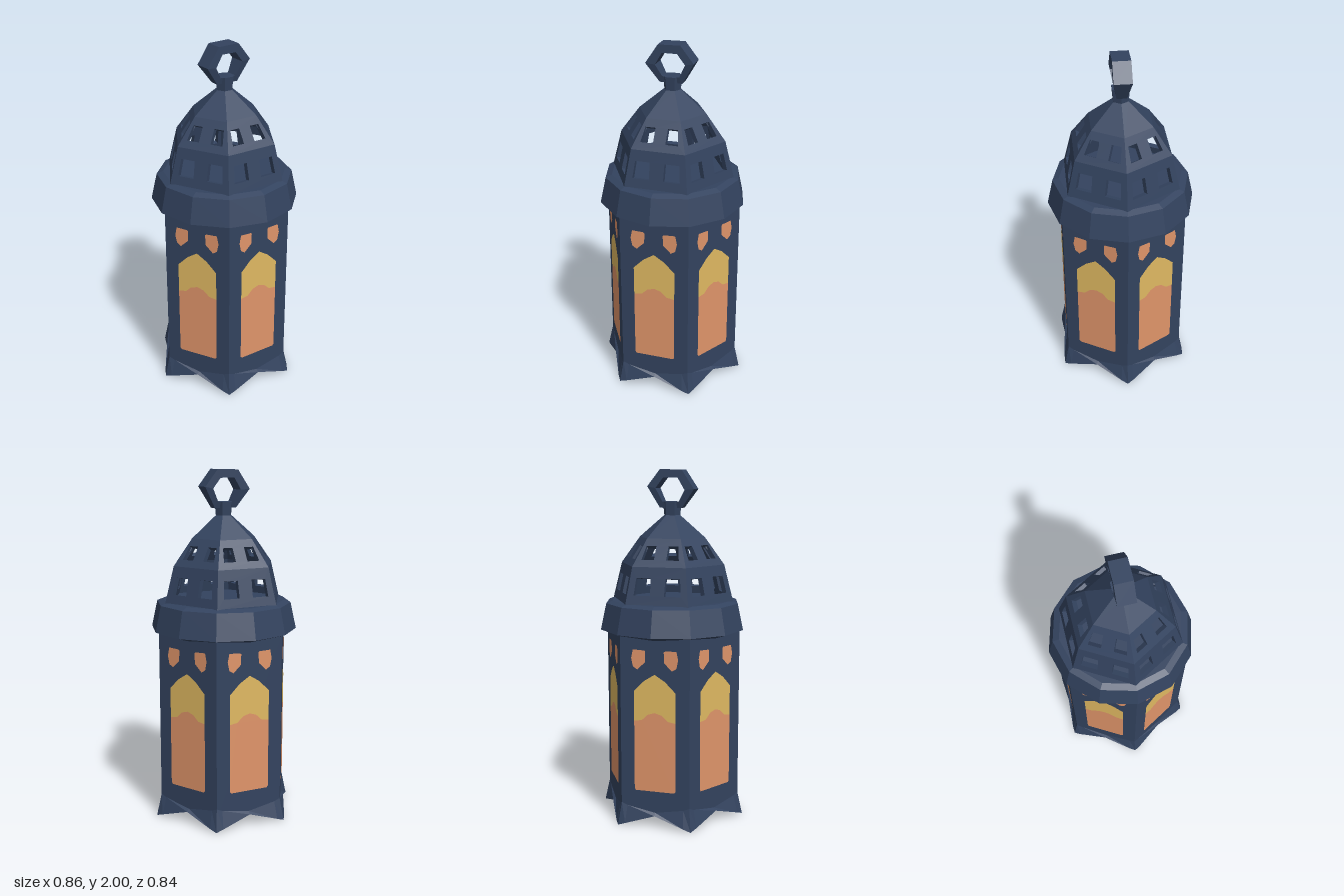
import * as THREE from 'three';

const frameMat = new THREE.MeshStandardMaterial({ color: 0x33435f });
const orangeMat = new THREE.MeshStandardMaterial({ color: 0xe0956a });
const yellowMat = new THREE.MeshStandardMaterial({ color: 0xe0b962 });
frameMat.name = 'navyMetal';
orangeMat.name = 'orangeGlass';
yellowMat.name = 'yellowGlass';
frameMat.flatShading = true;
frameMat.side = THREE.DoubleSide;

const pts = (list) => list.map(([x, y]) => new THREE.Vector2(x, y));
const mirror = (list) => list.map(([x, y]) => [-x, y]).reverse();
const APOTHEM = 0.4 * Math.cos(Math.PI / 6);

function add(parent, name, geometry, material = frameMat) {
  const mesh = new THREE.Mesh(geometry, material);
  mesh.name = name;
  parent.add(mesh);
  return mesh;
}

// Hexagonal prism with corners on the x axis
function hexPrism(rTop, rBottom, y0, y1) {
  return new THREE.CylinderGeometry(rTop, rBottom, y1 - y0, 6, 1, false, Math.PI / 6)
    .translate(0, (y0 + y1) / 2, 0);
}

// Sloping dome panel between two heights, with optional openings [x, y]
function domePanel(z0, y0, z1, y1, holes) {
  const w0 = z0 / Math.sqrt(3), w1 = z1 / Math.sqrt(3);
  const length = Math.hypot(z0 - z1, y1 - y0), t = 0.03;
  const shape = new THREE.Shape(pts([[-w0, 0], [w0, 0], [w1, length], [-w1, length]]));
  for (const hole of holes) {
    const local = hole.map(([x, y]) => [x, (y - y0) / (y1 - y0) * length]);
    shape.holes.push(new THREE.Path(pts(local)), new THREE.Path(pts(mirror(local))));
  }
  return new THREE.ExtrudeGeometry(shape, { depth: t, bevelEnabled: false })
    .translate(0, 0, -t)
    .rotateX(-Math.atan2(z0 - z1, y1 - y0))
    .translate(0, y0, z0);
}

// Flared skirt with a pointed foot at each corner
function skirtGeometry() {
  // Per side: x and z of the column, top height, foot x, foot z, foot height
  const columns = [
    [-0.2, 0.13, -0.215, 0.372, 0],
    [-0.165, 0.115, -0.172, 0.374, 0.015],
    [0, 0.085, 0, 0.362, 0.07],
    [0.165, 0.115, 0.172, 0.374, 0.015],
  ];
  const position = [], index = [], up = new THREE.Vector3(0, 1, 0);
  for (let side = 0; side < 6; side++) {
    for (const [x, top, fx, fz, fy] of columns) {
      for (const p of [[x, top, APOTHEM], [fx, fy, fz]]) {
        position.push(...new THREE.Vector3(...p).applyAxisAngle(up, side * Math.PI / 3).toArray());
      }
    }
  }
  const n = 24;
  for (let i = 0; i < n; i++) {
    const a = 2 * i, b = 2 * ((i + 1) % n);
    index.push(a, a + 1, b + 1, a, b + 1, b);
  }
  const g = new THREE.BufferGeometry();
  g.setAttribute('position', new THREE.Float32BufferAttribute(position, 3));
  g.setIndex(index);
  g.computeVertexNormals();
  return g;
}

// Hanging ring: a bent hexagon that narrows towards the bottom
function ringGeometry() {
  const shape = new THREE.Shape(pts([
    [0.133, 1.905], [0.058, 2], [-0.068, 1.997], [-0.14, 1.89], [-0.065, 1.785], [0.065, 1.785],
  ]));
  shape.holes.push(new THREE.Path(pts([
    [0.085, 1.895], [0.04, 1.953], [-0.045, 1.953], [-0.085, 1.885], [-0.048, 1.82], [0.048, 1.82],
  ])));
  const g = new THREE.ExtrudeGeometry(shape, { depth: 0.1, bevelEnabled: false }).translate(0, 0, -0.05);
  const p = g.attributes.position;
  for (let i = 0; i < p.count; i++) {
    const k = THREE.MathUtils.smoothstep(p.getY(i), 1.76, 1.89);
    p.setZ(i, p.getZ(i) * (0.5 + 0.5 * k));
  }
  g.computeVertexNormals();
  return g;
}

export function createModel() {
  const model = new THREE.Group();
  model.name = 'lantern';

  // Body, base and collar
  add(model, 'body', hexPrism(0.4, 0.4, 0.065, 1.1));
  add(model, 'skirt', skirtGeometry());
  add(model, 'collar', new THREE.LatheGeometry(pts([
    [0.33, 1.07], [0.42, 1.1], [0.387, 1.25], [0.35, 1.265], [0, 1.265],
  ]), 12));

  // Glass outlines; the wave divides the two colours
  const wave = [[0.12, 0.618], [0.075, 0.625], [0.04, 0.658], [0, 0.67],
    [-0.04, 0.658], [-0.075, 0.625], [-0.12, 0.618]];
  const lowerGlass = [[-0.12, 0.222], [-0.112, 0.212], [0.112, 0.212], [0.12, 0.222], ...wave];
  const upperGlass = [...mirror(wave).map(([x, y]) => [x, y]).reverse(),
    [0.12, 0.79], [0.06, 0.85], [0, 0.888], [-0.06, 0.85], [-0.12, 0.79]];
  const smallGlass = [[0.053, 1.015], [0.06, 1.021], [0.125, 1.024], [0.135, 0.975],
    [0.125, 0.928], [0.1, 0.912], [0.055, 0.955]];
  const plate = (outline) => new THREE.ShapeGeometry(new THREE.Shape(pts(outline)))
    .translate(0, 0, APOTHEM + 0.003);

  // Dome tiers: lower radius and height, upper radius and height, openings
  const tiers = [
    [0.312, 1.26, 0.265, 1.47, [[[0.04, 1.315], [0.135, 1.315], [0.125, 1.41], [0.042, 1.41]]]],
    [0.265, 1.47, 0.168, 1.62, [[[0.035, 1.507], [0.107, 1.507], [0.092, 1.58], [0.035, 1.58]]]],
    [0.168, 1.62, 0.04, 1.745, []],
  ];

  // Six identical sides
  for (let i = 0; i < 6; i++) {
    const side = new THREE.Group();
    side.name = 'side' + (i + 1);
    side.rotation.y = i * Math.PI / 3;
    add(side, 'lowerGlass', plate(lowerGlass), orangeMat);
    add(side, 'upperGlass', plate(upperGlass), yellowMat);
    add(side, 'smallGlassLeft', plate(smallGlass), orangeMat);
    add(side, 'smallGlassRight', plate(mirror(smallGlass)), orangeMat);
    tiers.forEach((tier, t) => add(side, 'domePanel' + (t + 1), domePanel(...tier)));
    model.add(side);
  }

  // Finial and hanging ring
  add(model, 'finial', hexPrism(0.055, 0.045, 1.72, 1.82));
  add(model, 'hangingRing', ringGeometry());
  return model;
}
